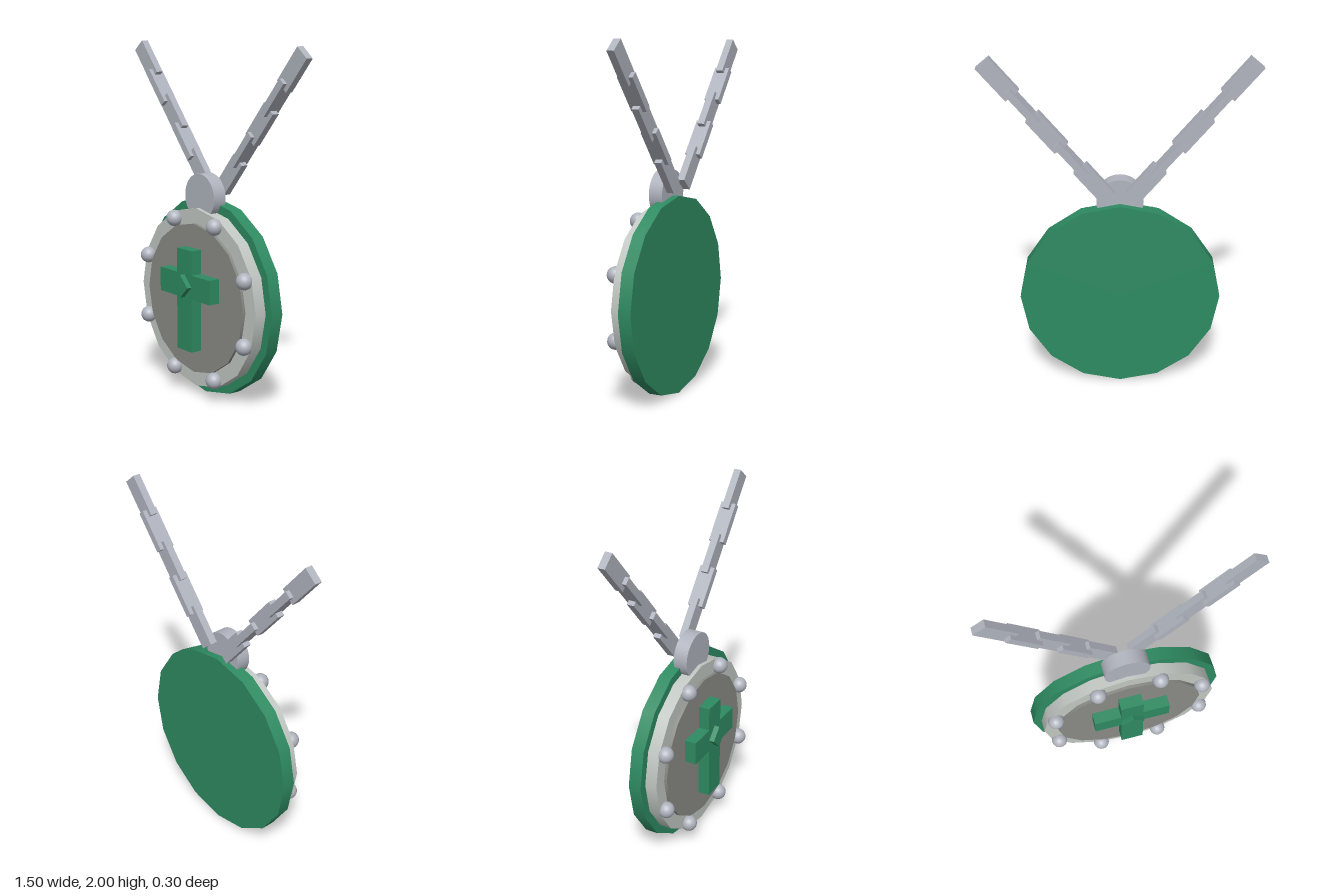
import * as THREE from 'three';

export function createModel() {
  const model = new THREE.Group();
  model.name = 'pendant';

  const mat = (name, color) => {
    const m = new THREE.MeshStandardMaterial({ color });
    m.name = name;
    return m;
  };
  const green = mat('green enamel', 0x2e8b62);
  const silver = mat('silver', 0xb0b4be);
  const paleRing = mat('pale metal', 0xc2c8c3);
  const grey = mat('grey stone', 0x8b8c87);

  const add = (name, geometry, material, x, y, z, parent = model) => {
    const mesh = new THREE.Mesh(geometry, material);
    mesh.name = name;
    mesh.position.set(x, y, z);
    parent.add(mesh);
    return mesh;
  };

  // Disc facing +z, spanning z0 to z1
  const disc = (name, material, radius, sides, y, z0, z1) =>
    add(name, new THREE.CylinderGeometry(radius, radius, z1 - z0, sides).rotateX(Math.PI / 2),
      material, 0, y, (z0 + z1) / 2);

  // Stacked medallion
  const cy = 0.573;
  disc('backPlate', green, 0.567, 16, cy, -0.11, -0.035);
  disc('rim', paleRing, 0.517, 16, cy, -0.035, 0.035);
  disc('innerFace', grey, 0.432, 16, cy, 0.03, 0.053);
  disc('bail', silver, 0.131, 32, 1.152, -0.07, 0.012);

  // Cross outline, extruded in one piece
  const w = 0.067, arm = 0.225, top = 0.866, bottom = 0.283, a0 = 0.59, a1 = 0.728;
  const outline = [
    [-w, bottom], [w, bottom], [w, a0], [arm, a0], [arm, a1], [w, a1],
    [w, top], [-w, top], [-w, a1], [-arm, a1], [-arm, a0], [-w, a0],
  ].map(([x, y]) => new THREE.Vector2(x, y));
  add('cross', new THREE.ExtrudeGeometry(new THREE.Shape(outline), { depth: 0.075, bevelEnabled: false }),
    green, 0, 0, 0.045);
  add('crossDiamond', new THREE.BoxGeometry(0.093, 0.093, 0.035), green, 0, 0.659, 0.1325)
    .rotation.z = Math.PI / 4;

  // Studs around the rim
  const studGeometry = new THREE.SphereGeometry(0.047, 20, 14);
  for (let i = 0; i < 8; i++) {
    const a = (i + 0.5) * Math.PI / 4;
    add('stud', studGeometry, silver, 0.475 * Math.cos(a), cy + 0.475 * Math.sin(a), 0.051);
  }

  // Two chains of links, each turned a quarter from the last
  const flatLink = new THREE.BoxGeometry(0.093, 0.235, 0.042);
  const edgeLink = new THREE.BoxGeometry(0.042, 0.235, 0.09);
  for (const side of [1, -1]) {
    const chain = new THREE.Group();
    chain.name = side > 0 ? 'leftChain' : 'rightChain';
    model.add(chain);
    for (let i = 0; i < 5; i++) {
      add('chainLink', i % 2 ? edgeLink : flatLink, silver,
        side * (0.14 + 0.125 * i), 1.286 + 0.149 * i, -0.105, chain)
        .rotation.z = -side * THREE.MathUtils.degToRad(40);
    }
  }
  return model;
}
